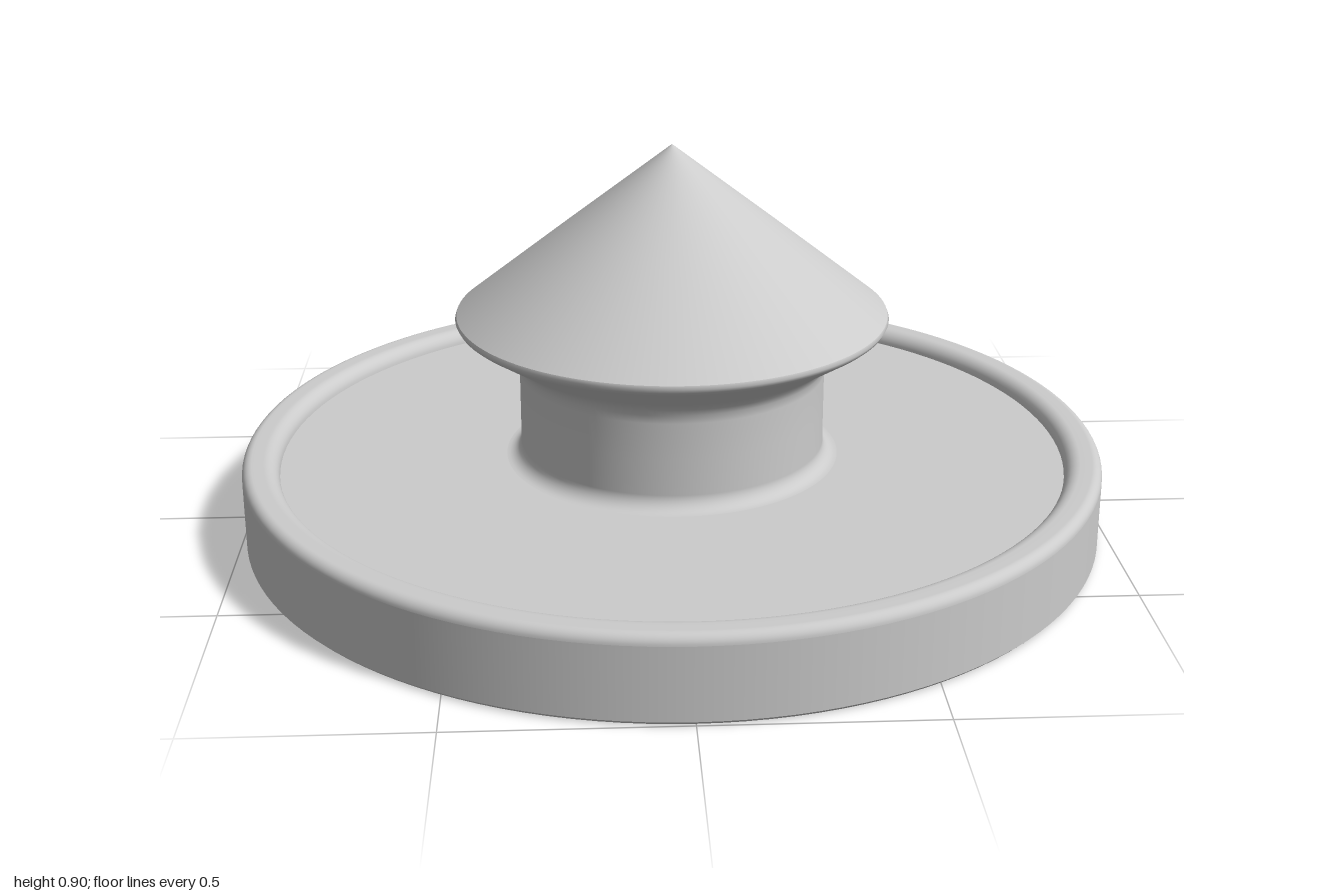
import * as THREE from 'three';

const SEGMENTS = 128;
const material = new THREE.MeshStandardMaterial({ color: 0xcccccc });

// Points along a circular arc, angles in degrees
function arc(cx, cy, r, from, to, steps = 8) {
  return Array.from({ length: steps + 1 }, (_, i) => {
    const a = THREE.MathUtils.degToRad(from + ((to - from) * i) / steps);
    return [cx + r * Math.cos(a), cy + r * Math.sin(a)];
  });
}

// Each profile is smooth within itself; edges between profiles stay sharp
function turned(name, profiles) {
  const group = new THREE.Group();
  group.name = name;
  profiles.forEach((profile, i) => {
    const points = profile.map(([x, y]) => new THREE.Vector2(Math.max(x, 0), y));
    const mesh = new THREE.Mesh(new THREE.LatheGeometry(points, SEGMENTS), material);
    mesh.name = `${name}Surface${i + 1}`;
    group.add(mesh);
  });
  return group;
}

export function createModel() {
  const model = new THREE.Group();
  model.name = 'turnedDish';
  const floor = 0.16;

  // Round dish: flat underside, upright wall, rounded rim, recessed floor
  const dish = turned('dish', [
    [[0, 0], [0.992, 0]],
    [[0.992, 0], [1, 0.008]],
    [[1, 0.008], [1, 0.172]],
    [...arc(0.977, 0.172, 0.023, 0, 90), ...arc(0.95, 0.16, 0.035, 90, 180)],
    [[0.915, floor], [0.39, floor]],
  ]);

  // Post with a fillet at the foot and a flare under the cap
  const post = turned('post', [
    [...arc(0.39, floor + 0.035, 0.035, 270, 180), [0.355, 0.28], [0.355, 0.365],
      [0.358, 0.385], [0.366, 0.401], [0.378, 0.413], [0.392, 0.423], [0.485, 0.483]],
  ]);

  // Pointed cap with a narrow rounded brim
  const cap = turned('cap', [
    [[0.485, 0.483], [0.495, 0.491], [0.5, 0.5], [0.497, 0.508]],
    [[0.497, 0.508], [0.25, 0.704], [0, 0.9]],
  ]);

  model.add(dish, post, cap);
  return model;
}
